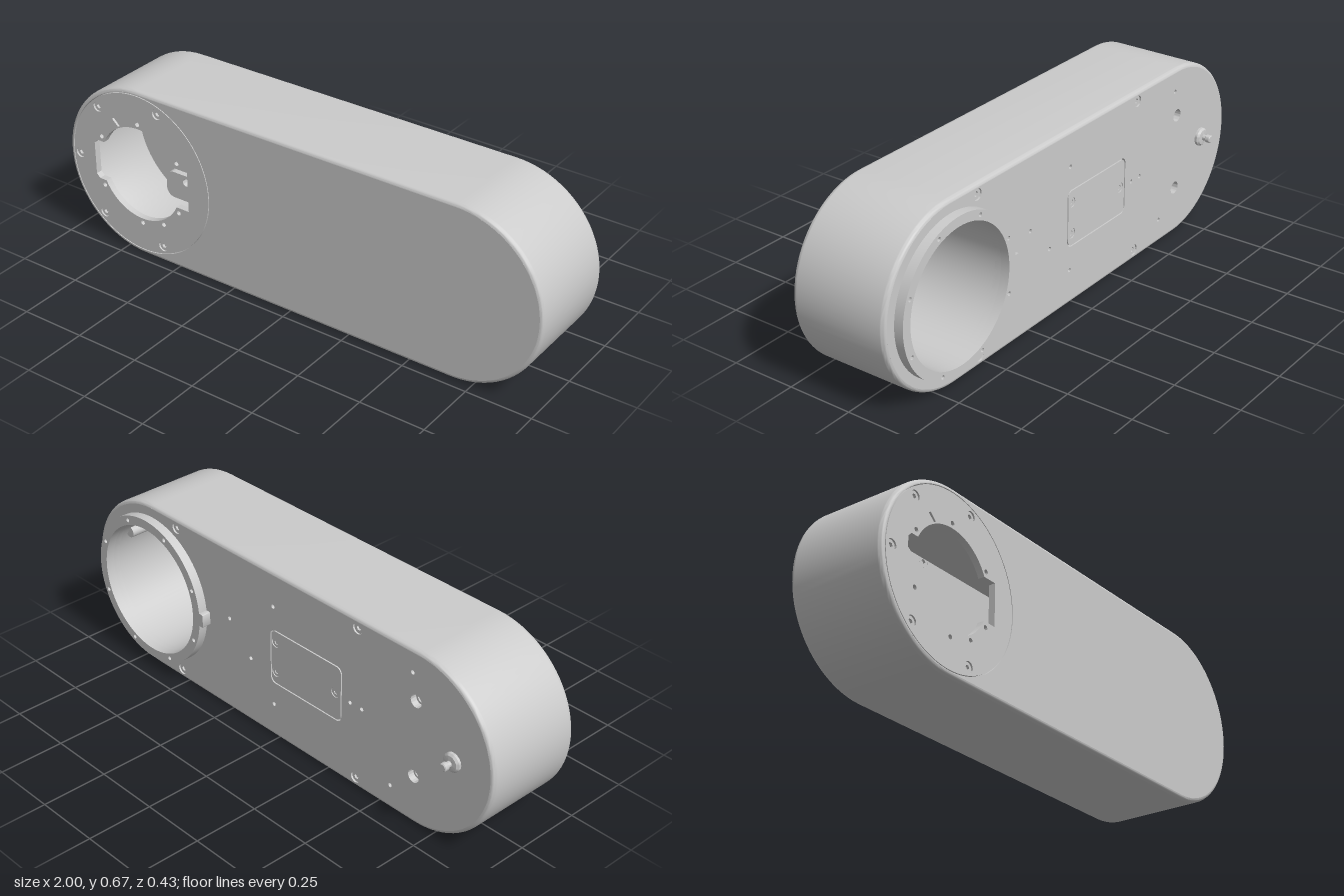
import * as THREE from 'three';
import { toCreasedNormals } from 'three/addons/utils/BufferGeometryUtils.js';

const R = 0.336, CX = 0.664, CY = 0.336;   // end radius, end centre x, axis height
const FRONT = 0.215, BACK = -0.165, LIP = 0.014, SKIN = 0.025;
const MX = -CX;                            // centre of the front mounting disc
const rad = THREE.MathUtils.degToRad;

const material = new THREE.MeshStandardMaterial({ color: 0xcccccc, side: THREE.DoubleSide });

function circle(x, y, r, Type = THREE.Path) {
  const p = new Type();
  p.absarc(x, y, r, 0, Math.PI * 2, false);
  return p;
}

function roundedRect(x0, y0, x1, y1, r, Type = THREE.Path) {
  const p = new Type();
  p.absarc(x1 - r, y0 + r, r, -Math.PI / 2, 0, false);
  p.absarc(x1 - r, y1 - r, r, 0, Math.PI / 2, false);
  p.absarc(x0 + r, y1 - r, r, Math.PI / 2, Math.PI, false);
  p.absarc(x0 + r, y0 + r, r, Math.PI, Math.PI * 1.5, false);
  p.closePath();
  return p;
}

function stadium(r) {
  const s = new THREE.Shape();
  s.absarc(CX, CY, r, -Math.PI / 2, Math.PI / 2, false);
  s.absarc(-CX, CY, r, Math.PI / 2, Math.PI * 1.5, false);
  s.closePath();
  return s;
}

const polar = (x, deg, r) => [x + r * Math.cos(rad(deg)), CY + r * Math.sin(rad(deg))];

export function createModel() {
  const model = new THREE.Group();
  model.name = 'armLinkHousing';

  const add = (name, geometry) => {
    const mesh = new THREE.Mesh(geometry, material);
    mesh.name = name;
    model.add(mesh);
    return mesh;
  };

  // Flat part between two depths, with optional holes
  const slab = (name, shape, z0, z1, holes = [], segments = 32) => {
    shape.holes.push(...holes);
    const g = new THREE.ExtrudeGeometry(shape, { depth: z1 - z0, bevelEnabled: false, curveSegments: segments });
    return add(name, toCreasedNormals(g.translate(0, 0, z0), 0.6));
  };

  // Socket-head screw: round head with a hexagonal recess
  const screw = (name, x, y, r, z0, z1) => {
    const hex = new THREE.Path();
    for (let i = 0; i < 6; i++) {
      const a = i * Math.PI / 3;
      hex[i ? 'lineTo' : 'moveTo'](x + r * 0.5 * Math.cos(a), y + r * 0.5 * Math.sin(a));
    }
    hex.closePath();
    slab(name, circle(x, y, r, THREE.Shape), z0, z1, [hex], 10);
    slab(name + 'Floor', circle(x, y, r, THREE.Shape), (z0 + z1) / 2 - 0.002, (z0 + z1) / 2, [], 10);
  };

  // Side wall: rounded-edge profile (inset, z) swept round the stadium outline
  const profile = [];
  for (let i = 0; i <= 6; i++) {
    const a = i / 6 * Math.PI / 2;
    profile.push([LIP * (1 - Math.sin(a)), FRONT - 0.018 * (1 - Math.cos(a))]);
  }
  for (let i = 0; i <= 6; i++) {
    const a = i / 6 * Math.PI / 2;
    profile.push([LIP * (1 - Math.cos(a)), BACK + 0.018 * (1 - Math.sin(a))]);
  }
  profile.push([0.026, BACK + SKIN], [0.026, FRONT - SKIN]);
  const ARC = 40, rows = 2 * (ARC + 1), n = profile.length;
  const position = [], index = [];
  for (let i = 0; i < rows; i++) {
    const end = i <= ARC ? 1 : -1;
    const a = -Math.PI / 2 + Math.PI * (end > 0 ? i : i - 1) / ARC;
    for (const [inset, z] of profile) {
      position.push(end * CX + (R - inset) * Math.cos(a), CY + (R - inset) * Math.sin(a), z);
    }
    for (let j = 0; j < n; j++) {
      const i2 = (i + 1) % rows, j2 = (j + 1) % n;
      const p = i * n + j, q = i2 * n + j, s = i2 * n + j2, t = i * n + j2;
      index.push(p, t, s, p, s, q);
    }
  }
  const wall = new THREE.BufferGeometry();
  wall.setAttribute('position', new THREE.Float32BufferAttribute(position, 3));
  wall.setIndex(index);
  add('sideWall', toCreasedNormals(wall, 0.6));

  // Front skin, with a fine seam round the mounting disc
  slab('frontPlate', stadium(R - LIP), FRONT - SKIN, FRONT, [circle(MX, CY, 0.319)], 48);
  slab('seamBacking', circle(MX, CY, 0.322, THREE.Shape), FRONT - SKIN - 0.006, FRONT - 0.01,
    [circle(MX, CY, 0.312)], 48);

  // Mounting disc: round opening with a notch on either side
  const opening = new THREE.Path();
  const notch = Math.asin(0.08 / 0.185), W = 0.213;
  opening.absarc(MX, CY, 0.185, notch, Math.PI - notch, false);
  for (const [x, y] of [[-W + 0.015, 0.08], [-W, 0.065], [-W, -0.065], [-W + 0.015, -0.08]]) {
    opening.lineTo(MX + x, CY + y);
  }
  opening.absarc(MX, CY, 0.185, Math.PI + notch, 2 * Math.PI - notch, false);
  for (const [x, y] of [[W + 0.01, -0.08], [W + 0.01, 0.08]]) opening.lineTo(MX + x, CY + y);
  opening.closePath();

  const discScrews = [180, 130, -130, 71, -71].map(a => polar(MX, a, 0.287));
  const slot = new THREE.Path();
  [[0.19, 116], [0.225, 119], [0.225, 122], [0.19, 119]].forEach(([r, a], i) =>
    slot[i ? 'lineTo' : 'moveTo'](...polar(MX, a, r)));
  slot.closePath();
  slab('mountingDisc', circle(MX, CY, 0.316, THREE.Shape), FRONT - SKIN, FRONT, [
    opening, slot,
    ...discScrews.map(([x, y]) => circle(x, y, 0.02)),
    ...[90, -90, 150, 30, 210, -30, -60].map(a => circle(...polar(MX, a, 0.203), 0.009)),
  ], 48);
  discScrews.forEach(([x, y]) => screw('discScrew', x, y, 0.0195, FRONT - SKIN, FRONT - 0.006));

  // Back skin with the bore, the cover recess and the fixing holes
  const edgeScrews = [], padHoles = [];
  for (const s of [1, -1]) {
    edgeScrews.push([0.53, CY + s * 0.298], [-0.39, CY + s * 0.298]);
    padHoles.push([MX + 0.005, CY + s * 0.148]);
  }
  const pinHoles = [[0.25, 0.385], [0.14, 0.27], [0.02, 0.535], [0.02, 0.135],
    [-0.36, 0.33], [-0.415, 0.33], [-0.64, 0.585], [-0.555, 0.095]];
  slab('backPlate', stadium(R - LIP), BACK, BACK + SKIN, [
    circle(CX, CY, 0.252),
    roundedRect(-0.32, 0.225, 0.035, 0.445, 0.025),
    ...edgeScrews.map(([x, y]) => circle(x, y, 0.021)),
    ...padHoles.map(([x, y]) => circle(x, y, 0.024)),
    ...pinHoles.map(([x, y]) => circle(x, y, 0.008)),
  ], 48);
  edgeScrews.forEach(([x, y]) => screw('edgeScrew', x, y, 0.0205, BACK + 0.006, BACK + SKIN));

  // Access cover, set flush in its recess
  const coverScrews = [[0.008, 0.395], [0.008, 0.275], [-0.288, 0.335]];
  slab('accessCover', roundedRect(-0.315, 0.23, 0.03, 0.44, 0.022, THREE.Shape), BACK, BACK + SKIN,
    coverScrews.map(([x, y]) => circle(x, y, 0.019)), 10);
  slab('coverBacking', roundedRect(-0.34, 0.21, 0.055, 0.46, 0.02, THREE.Shape), BACK + 0.012, BACK + SKIN + 0.01);
  coverScrews.forEach(([x, y]) => screw('coverScrew', x, y, 0.0185, BACK + 0.003, BACK + 0.014));

  // Raised output ring, its key, and the bore behind it
  const ringHoles = [];
  for (let i = 0; i < 8; i++) ringHoles.push(circle(...polar(CX, 22.5 + i * 45, 0.27), 0.008));
  slab('outputRing', circle(CX, CY, 0.288, THREE.Shape), -0.2, BACK, [circle(CX, CY, 0.252), ...ringHoles], 48);
  slab('ringKey', roundedRect(0.358, 0.31, 0.395, 0.362, 0.004, THREE.Shape), -0.2, BACK);
  slab('boreSleeve', circle(CX, CY, 0.262, THREE.Shape), BACK + 0.002, FRONT - SKIN, [circle(CX, CY, 0.252)], 48);
  const rib = add('boreRib', new THREE.CylinderGeometry(0.022, 0.022, 0.3, 16));
  rib.rotation.x = Math.PI / 2;
  rib.position.set(...polar(CX, 31, 0.245), 0.035);

  // Mounting pads seen inside the front opening
  for (const s of [1, -1]) {
    const lo = Math.min(s * 0.12, s * 0.23), hi = Math.max(s * 0.12, s * 0.23);
    slab('innerPad', roundedRect(MX - 0.09, CY + lo, MX + 0.09, CY + hi, 0.035, THREE.Shape),
      BACK + SKIN, -0.03, [circle(MX + 0.005, CY + s * 0.148, 0.016)], 12);
  }
  slab('innerBlock', roundedRect(-0.49, 0.292, -0.42, 0.38, 0.004, THREE.Shape), BACK + SKIN, -0.03,
    [circle(-0.45, CY, 0.01)], 10);

  // Air fitting on the back and its nut inside
  const fitting = add('backFitting', toCreasedNormals(new THREE.LatheGeometry([
    [0, 0], [0.035, 0], [0.035, 0.009], [0.028, 0.016], [0.011, 0.018], [0.011, 0.03],
    [0.015, 0.033], [0.015, 0.048], [0.012, 0.051], [0, 0.051],
  ].map(p => new THREE.Vector2(...p)), 28), 0.6));
  fitting.rotation.x = -Math.PI / 2;
  fitting.position.set(-0.828, 0.338, BACK);
  const nut = add('fittingNut', new THREE.CylinderGeometry(0.029, 0.029, 0.04, 6));
  nut.rotation.x = Math.PI / 2;
  nut.position.set(-0.828, 0.338, BACK + SKIN + 0.02);

  return model;
}
